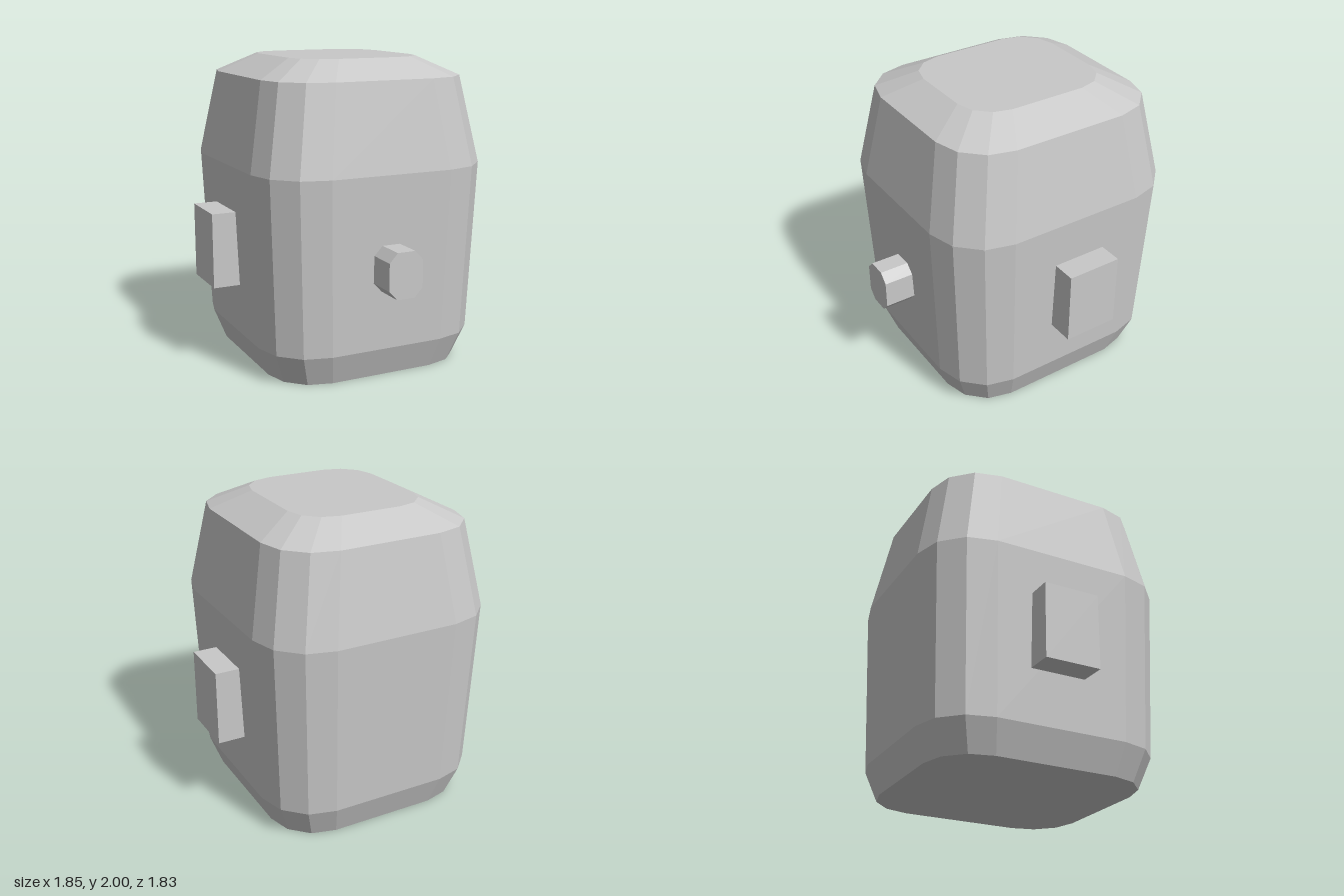
import * as THREE from 'three';

// Rounded-rectangle ring: half width, half depth, corner radius, four points per corner
function ring([y, hx, hz, r], cz) {
  const pts = [];
  const corners = [[1, -1], [-1, -1], [-1, 1], [1, 1]];
  corners.forEach(([sx, sz], c) => {
    for (let i = 0; i < 4; i++) {
      const a = c * Math.PI / 2 + i * Math.PI / 6;
      pts.push([sx * (hx - r) + r * Math.cos(a), y, cz + sz * (hz - r) - r * Math.sin(a)]);
    }
  });
  return pts;
}

// Closed faceted solid through a stack of rings
function loft(rings, cz) {
  const pos = [];
  const tri = (...p) => p.forEach(v => pos.push(...v));
  const n = rings[0].length;
  const last = rings.length - 1;
  const bottom = [0, rings[0][0][1], cz];
  const top = [0, rings[last][0][1], cz];
  for (let i = 0; i < n; i++) {
    const j = (i + 1) % n;
    for (let k = 0; k < last; k++) {
      const lo = rings[k], hi = rings[k + 1];
      tri(lo[i], lo[j], hi[j]);
      tri(lo[i], hi[j], hi[i]);
    }
    tri(bottom, rings[0][j], rings[0][i]);
    tri(top, rings[last][i], rings[last][j]);
  }
  const g = new THREE.BufferGeometry();
  g.setAttribute('position', new THREE.Float32BufferAttribute(pos, 3));
  g.computeVertexNormals();
  return g;
}

export function createModel() {
  const group = new THREE.Group();
  const grey = new THREE.MeshStandardMaterial({ color: 0xc8c8c8, flatShading: true });
  grey.name = 'light grey';
  const add = (name, geometry, x = 0, y = 0, z = 0) => {
    const mesh = new THREE.Mesh(geometry, grey);
    mesh.name = name;
    mesh.position.set(x, y, z);
    group.add(mesh);
  };

  // Barrel-like body: height, half width, half depth, corner radius
  const cz = -0.086;
  const profile = [
    [0, 0.66, 0.708, 0.31],
    [0.2, 0.735, 0.782, 0.35],
    [1.32, 0.78, 0.829, 0.37],
    [1.88, 0.675, 0.722, 0.34],
    [2, 0.435, 0.488, 0.235],
  ];
  add('body', loft(profile.map(p => ring(p, cz)), cz));

  // Side blocks
  for (const [name, s] of [['leftBlock', 1], ['rightBlock', -1]]) {
    add(name, new THREE.BoxGeometry(0.285, 0.486, 0.365), s * 0.782, 0.785, -0.122);
  }

  // Chamfered front knob
  const outline = [[0.06, 0.147], [-0.06, 0.147], [-0.115, 0.088], [-0.115, -0.088],
    [-0.06, -0.147], [0.06, -0.147], [0.115, -0.088], [0.115, 0.088]];
  const shape = new THREE.Shape(outline.map(p => new THREE.Vector2(...p)));
  add('frontKnob', new THREE.ExtrudeGeometry(shape, { depth: 0.285, bevelEnabled: false }), 0, 0.734, 0.63);

  return group;
}
